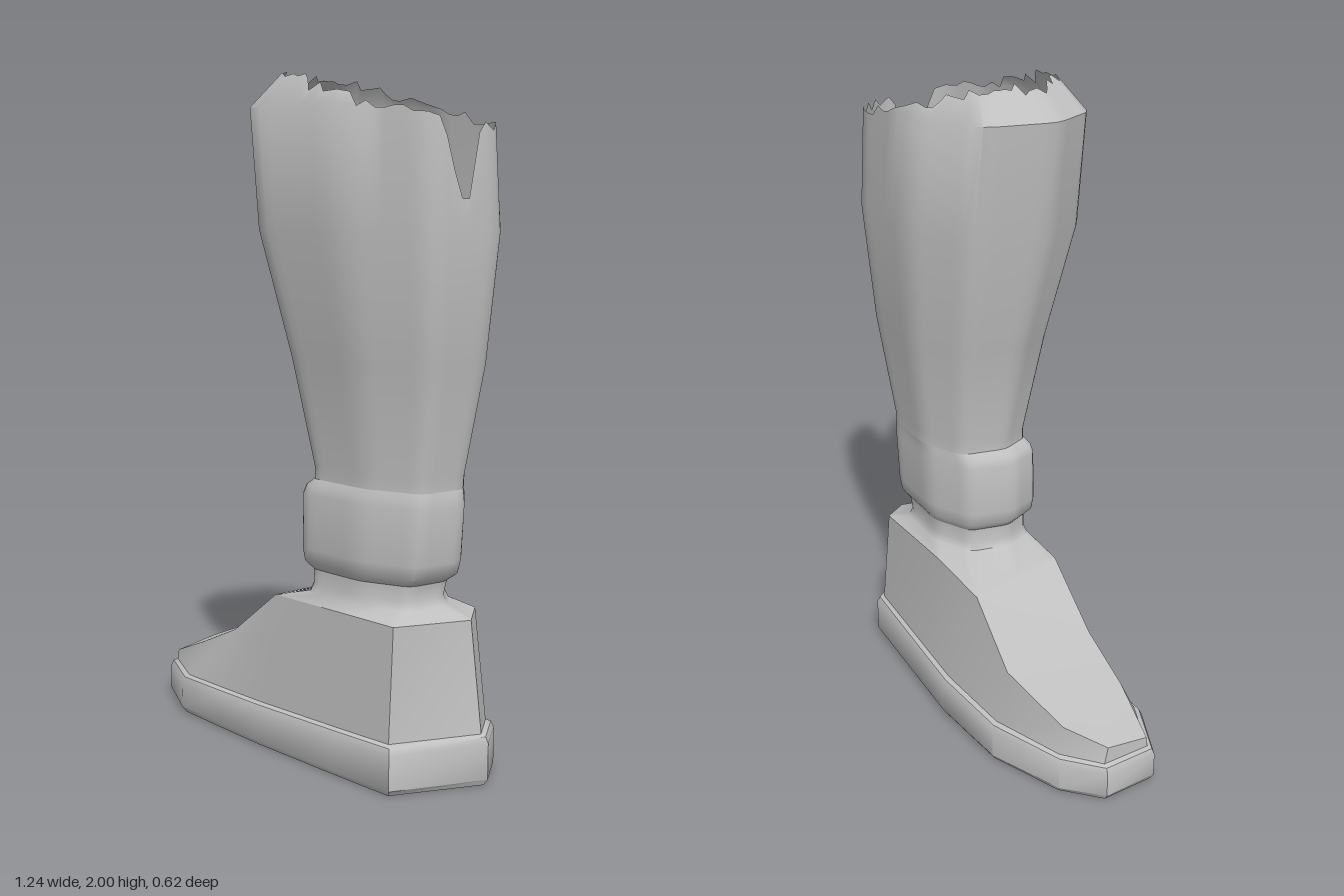
import * as THREE from 'three';
import { toCreasedNormals } from 'three/addons/utils/BufferGeometryUtils.js';

const V = (x, y, z) => new THREE.Vector3(x, y, z);

// Collects triangles from rings and polygons
class Skin {
  constructor() { this.pos = []; }
  tri(a, b, c) {
    const area = b.clone().sub(a).cross(c.clone().sub(a)).length();
    if (area > 1e-8) for (const p of [a, b, c]) this.pos.push(p.x, p.y, p.z);
  }
  fan(pts) {
    for (let i = 1; i < pts.length - 1; i++) this.tri(pts[0], pts[i], pts[i + 1]);
  }
  // Rings run clockwise seen from above, lowest ring first
  loft(rings) {
    for (let r = 0; r < rings.length - 1; r++) {
      const a = rings[r], b = rings[r + 1];
      for (let i = 0; i < a.length; i++) {
        const j = (i + 1) % a.length;
        this.tri(a[j], a[i], b[i]);
        this.tri(a[j], b[i], b[j]);
      }
    }
  }
  mesh(name, material, crease) {
    const g = new THREE.BufferGeometry();
    g.setAttribute('position', new THREE.Float32BufferAttribute(this.pos, 3));
    const m = new THREE.Mesh(toCreasedNormals(g, crease), material);
    m.name = name;
    return m;
  }
}

// Eight-sided leg section, in units of its bounding box
const OCTAGON = [[-1, -0.05], [-0.68, -0.85], [-0.03, -1], [0.81, -0.58],
  [1, 0.03], [0.73, 0.87], [-0.03, 1], [-0.95, 0.66]];

function corners([y, x0, x1, z0, z1]) {
  return OCTAGON.map(([u, v]) =>
    V((x0 + x1) / 2 + u * (x1 - x0) / 2, y, (z0 + z1) / 2 + v * (z1 - z0) / 2));
}

// Softens the corners and subdivides the sides of a section
function softRing(c, bevel = 0.16, side = 7) {
  const out = [], n = c.length;
  for (let i = 0; i < n; i++) {
    const p = c[i], prev = c[(i + n - 1) % n], next = c[(i + 1) % n];
    const a = p.clone().lerp(prev, bevel), b = p.clone().lerp(next, bevel);
    const mid = a.clone().add(b).multiplyScalar(0.25).addScaledVector(p, 0.5);
    out.push(a, mid, b);
    const end = next.clone().lerp(p, bevel);
    for (let k = 1; k < side; k++) out.push(b.clone().lerp(end, k / side));
  }
  return out;
}

export function createModel() {
  const group = new THREE.Group();
  group.name = 'brokenBoot';
  const grey = new THREE.MeshStandardMaterial({ color: 0xc0c0c0, side: THREE.DoubleSide });
  grey.name = 'plainGrey';

  // Sole: slanted outline, toe at -x
  const outline = [[-0.625, -0.06], [-0.58, -0.23], [-0.45, -0.295], [-0.2, -0.312],
    [0.07, -0.245], [0.25, -0.175], [0.57, -0.05], [0.615, 0.08], [0.42, 0.305],
    [0.2, 0.255], [-0.11, 0.18], [-0.3, 0.125], [-0.48, 0.07]];
  const soleTop = x => 0.12 + 0.03 * (x + 0.6) / 1.2;
  const soleRing = (height, sx, sz) => outline.map(([x, z]) => {
    const axis = -0.015 + 0.2 * x;
    return V(x * sx, height(x), axis + (z - axis) * sz);
  });
  const base = soleRing(() => 0, 0.98, 0.95);
  const welt = soleRing(soleTop, 0.965, 0.9);
  const sole = new Skin();
  sole.fan(base);
  sole.loft([base, soleRing(() => 0.018, 1, 1), soleRing(x => soleTop(x) - 0.025, 1, 1),
    soleRing(x => soleTop(x) - 0.006, 0.987, 0.96), welt]);
  group.add(sole.mesh('sole', grey, 0.6));

  // Foot: side walls up to the instep edge, then the sloping instep
  const edge = [V(-0.6, 0.15, -0.07), V(-0.56, 0.17, -0.205), V(-0.44, 0.22, -0.268),
    V(-0.22, 0.31, -0.265), V(-0.02, 0.45, -0.18), V(0.2, 0.48, -0.125),
    V(0.51, 0.48, -0.035), V(0.545, 0.47, 0.06), V(0.41, 0.48, 0.268),
    V(0.2, 0.48, 0.22), V(-0.07, 0.47, 0.135), V(-0.27, 0.31, 0.065), V(-0.44, 0.225, 0.01)];
  const foot = new Skin();
  foot.loft([welt, edge]);
  for (const face of [[12, 1, 0], [12, 2, 1], [12, 11, 3, 2], [11, 10, 4, 3]])
    foot.fan(face.map(i => edge[i]));
  group.add(foot.mesh('footUpper', grey, 0.62));

  // Ankle: shoulder of the foot narrowing into the neck
  const shoulder = [edge[10].clone().lerp(edge[4], 0.5), ...edge.slice(4, 11)];
  const neck = [[0.505, 0.05, 0.475, -0.08, 0.21], [0.53, 0.06, 0.46, -0.07, 0.2],
    [0.575, 0.06, 0.47, -0.072, 0.2]].map(l => softRing(corners(l)));
  const ankle = new Skin();
  ankle.loft([softRing(shoulder, 0.01), ...neck]);
  group.add(ankle.mesh('ankle', grey, 0.9));

  // Cuff: raised band around the ankle
  const shaftFoot = softRing(corners([0.845, 0.065, 0.515, -0.09, 0.21]));
  const cuff = new Skin();
  cuff.loft([neck[2], ...[[0.6, 0.035, 0.505, -0.088, 0.22], [0.64, 0.03, 0.515, -0.092, 0.227],
    [0.8, 0.03, 0.523, -0.092, 0.222], [0.825, 0.04, 0.52, -0.09, 0.218]]
    .map(l => softRing(corners(l))), shaftFoot]);
  group.add(cuff.mesh('cuff', grey, 0.75));

  // Shaft: flares upward to a torn rim with one deep notch
  let seed = 11;
  const rand = () => (seed = (seed * 16807) % 2147483647) / 2147483647;
  const calf = softRing(corners([1.56, -0.09, 0.622, -0.165, 0.31]));
  const top = softRing(corners([1.9, -0.125, 0.6, -0.155, 0.298]));
  const rimHeight = top.map(p => {
    const y = 1.983 - 0.25 * Math.max(0, p.x) + (rand() - 0.5) * 0.034;
    const notch = 1.65 + Math.max(0, Math.abs(p.z - 0.175) - 0.012) * 5;
    return p.x > 0.45 ? Math.min(y, notch) : y;
  });
  const collar = top.map((p, i) =>
    calf[i].clone().lerp(p, (Math.min(1.9, rimHeight[i]) - 1.56) / 0.34));
  const rim = collar.map((p, i) => {
    const inset = 1 - Math.max(0, rimHeight[i] - 1.9) * 2.6;
    return V(0.25 + (p.x - 0.25) * inset, rimHeight[i], 0.07 + (p.z - 0.07) * inset);
  });
  const shaft = new Skin();
  shaft.loft([shaftFoot, softRing(corners([0.88, 0.065, 0.517, -0.09, 0.21])),
    softRing(corners([1.2, 0, 0.58, -0.13, 0.255])), calf, collar, rim]);
  group.add(shaft.mesh('shaft', grey, 0.7));

  return group;
}
